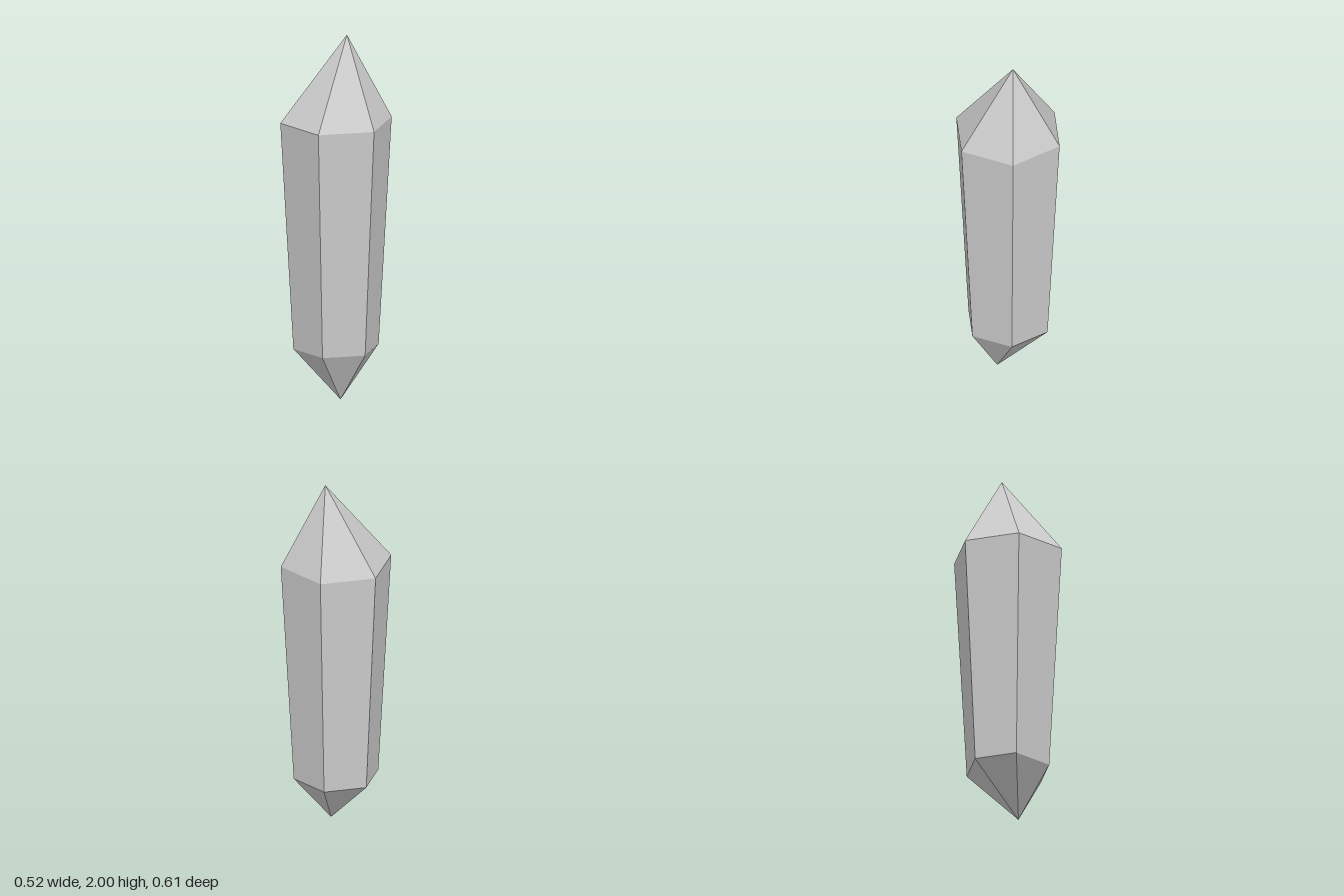
import * as THREE from 'three';

const SIDES = 6;
const TOP_RADIUS = 0.303, TOP_Y = 1.537;
const BASE_RADIUS = 0.232, BASE_Y = 0.278;

// One open six-sided band between two heights; its tip ring can be slid sideways.
function band(name, rTop, rBottom, yTop, yBottom, material, tip) {
  const height = yTop - yBottom;
  const geometry = new THREE.CylinderGeometry(rTop, rBottom, height, SIDES, 1, true);
  geometry.translate(0, yBottom + height / 2, 0);
  if (tip) {
    const p = geometry.attributes.position;
    for (let i = 0; i < p.count; i++) {
      if (Math.abs(p.getY(i) - tip.y) < 1e-4) p.setXYZ(i, tip.x, tip.y, tip.z);
    }
    geometry.computeVertexNormals();
  }
  const mesh = new THREE.Mesh(geometry, material);
  mesh.name = name;
  return mesh;
}

export function createModel() {
  const group = new THREE.Group();
  group.name = 'crystal';
  const material = new THREE.MeshStandardMaterial({ color: 0xcccccc, flatShading: true });

  // Tapered shaft with off-centre points above and below
  group.add(
    band('upperPoint', 0, TOP_RADIUS, 2, TOP_Y, material, new THREE.Vector3(0.045, 2, -0.05)),
    band('shaft', TOP_RADIUS, BASE_RADIUS, TOP_Y, BASE_Y, material),
    band('lowerPoint', BASE_RADIUS, 0, BASE_Y, 0, material, new THREE.Vector3(0.04, 0, 0.045))
  );
  return group;
}
